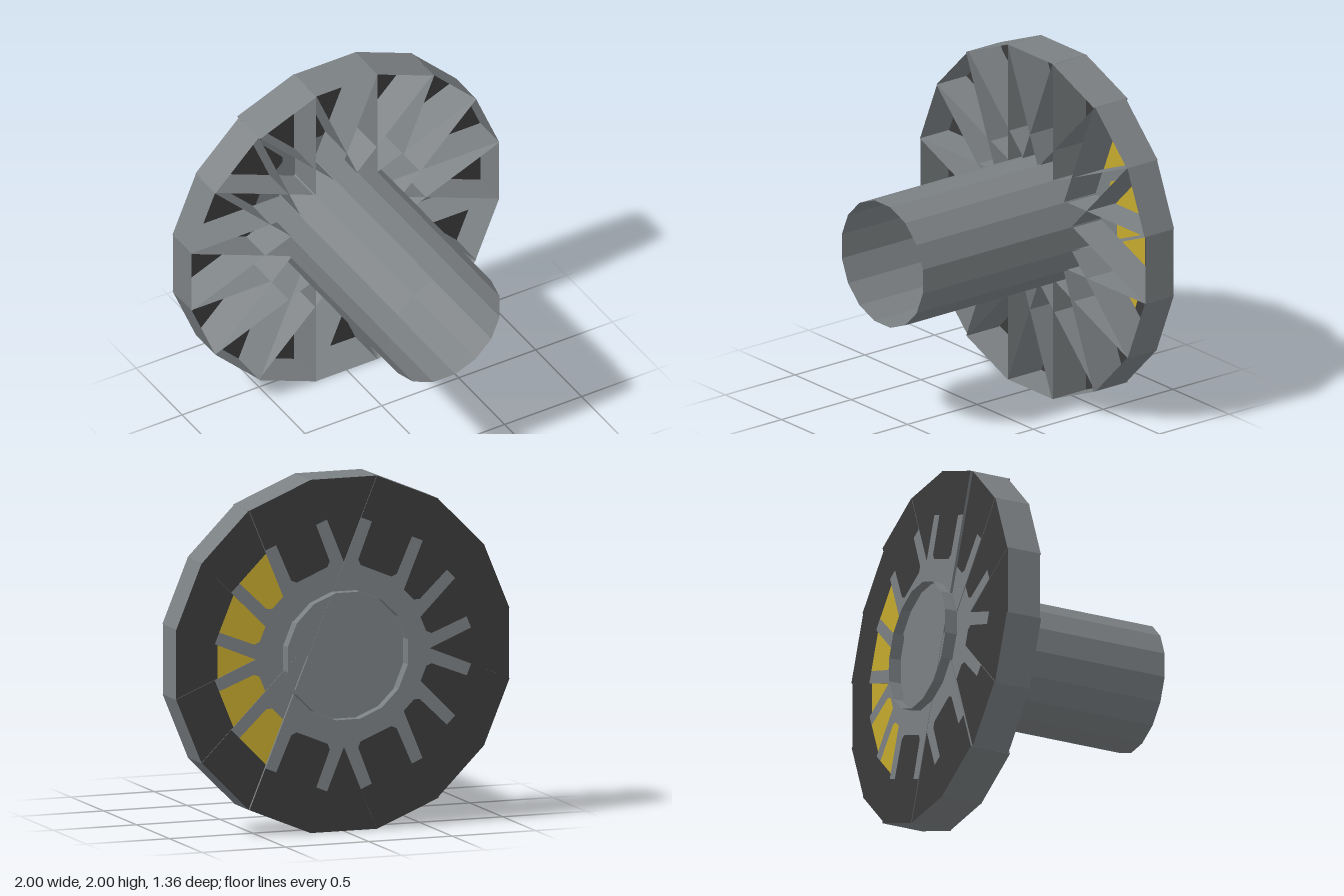
import * as THREE from 'three';
import { mergeGeometries } from 'three/addons/utils/BufferGeometryUtils.js';

const flat = (name, color) => {
  const m = new THREE.MeshStandardMaterial({ color, side: THREE.DoubleSide });
  m.name = name;
  return m;
};

const shape = (pts) => new THREE.ShapeGeometry(new THREE.Shape(pts.map(([x, y]) => new THREE.Vector2(x, y))));

const HALF_W = 0.2; // half width of one bar of the wheel
const HUB = 0.5; // where the notches start
const TIP = 0.75; // where the prongs end
const WHEEL_Z = -0.5;

// Outline of one notch between two prongs, pointing along +x
const notch = [[TIP, -0.13], [TIP, 0.13], [HUB + 0.025, 0.125], [HUB, 0.1], [HUB, -0.1], [HUB + 0.025, -0.125]];
const mirrorX = (pts) => pts.map(([x, y]) => [-x, -y]);

// Open tray walls: two long sides and two rim ends
function wallGeometry(half) {
  const parts = [];
  for (const s of [1, -1]) {
    parts.push(new THREE.PlaneGeometry(2, 2 * half).rotateX(-s * Math.PI / 2).translate(0, s * HALF_W, 0));
    parts.push(new THREE.PlaneGeometry(2 * half, 2 * HALF_W).rotateY(s * Math.PI / 2).translate(s, 0, 0));
  }
  // long sides stand along z
  return mergeGeometries(parts);
}

export function createModel() {
  const group = new THREE.Group();
  const grey = flat('steel grey', 0x7b8083);
  const dark = flat('dark grey', 0x3b3b3b);
  const yellow = flat('yellow', 0xc4a92d);

  const add = (parent, name, geometry, material) => {
    const mesh = new THREE.Mesh(geometry, material);
    mesh.name = name;
    parent.add(mesh);
  };

  // Hollow shaft, open at both ends
  const shaft = new THREE.CylinderGeometry(0.367, 0.367, 1.36, 16, 1, true).toNonIndexed();
  shaft.rotateY(Math.PI / 16).rotateX(Math.PI / 2).translate(0, 1, 0);
  shaft.computeVertexNormals();
  add(group, 'shaft', shaft, grey);

  // Eight crossed bars, open at the front, each a hair deeper than the one it tucks behind
  const bars = [
    { turn: 0, half: 0.1, lit: true },
    { turn: 1, half: 0.106, lit: true },
    { turn: -1, half: 0.104, lit: true },
    { turn: 2, half: 0.11, lit: true },
    { turn: -2, half: 0.108, lit: true },
    { turn: 4, half: 0.119, lit: false },
    { turn: 3, half: 0.121, lit: false },
    { turn: 5, half: 0.123, lit: false },
  ];
  // Grey middle of each bar with its four prongs
  const left = mirrorX(notch);
  const hub = [[TIP, HALF_W], ...notch.slice(1), notch[0], [TIP, -HALF_W],
    [-TIP, -HALF_W], ...left.slice(1), left[0], [-TIP, HALF_W]];

  for (const { turn, half, lit } of bars) {
    const bar = new THREE.Group();
    bar.name = 'wheelBar';
    bar.position.set(0, 1, WHEEL_Z);
    bar.rotation.z = turn * Math.PI / 8;
    group.add(bar);

    const back = (g) => g.rotateY(Math.PI).scale(-1, 1, 1).translate(0, 0, -half);
    const plate = (name, pts, material) => {
      const g = shape(pts);
      g.translate(0, 0, -half);
      add(bar, name, g, material);
    };
    add(bar, 'barWalls', wallGeometry(half), grey);
    plate('hubPlate', hub, grey);
    plate('notchPanel', notch, lit ? yellow : dark);
    plate('notchPanel', left, dark);
    for (const s of [1, -1]) {
      plate('rimPlate', [[s * TIP, -s * HALF_W], [s, -s * HALF_W], [s, s * HALF_W], [s * TIP, s * HALF_W]], dark);
    }
  }
  return group;
}
